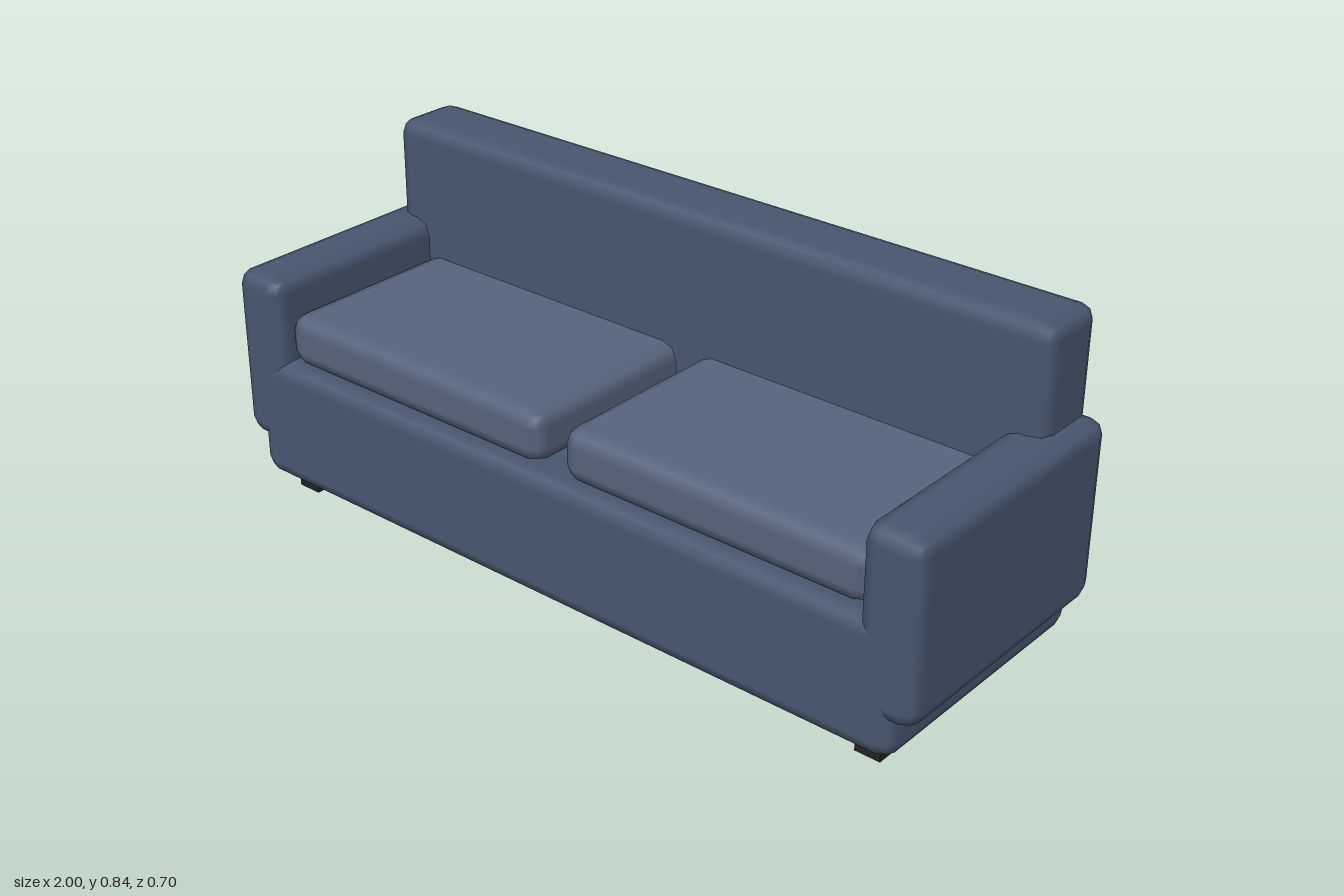
import * as THREE from 'three';
import { RoundedBoxGeometry } from 'three/addons/geometries/RoundedBoxGeometry.js';

const fabric = new THREE.MeshStandardMaterial({ color: 0x47566f });
const cushionFabric = new THREE.MeshStandardMaterial({ color: 0x56637c });
const legPaint = new THREE.MeshStandardMaterial({ color: 0x222222 });

// Box given by its [min, max] extents; a radius gives it a two-step bevel.
function block(name, [x0, x1], [y0, y1], [z0, z1], material, radius = 0.04) {
  const size = [x1 - x0, y1 - y0, z1 - z0];
  const geometry = radius
    ? new RoundedBoxGeometry(...size, 1, radius)
    : new THREE.BoxGeometry(...size);
  const mesh = new THREE.Mesh(geometry, material);
  mesh.name = name;
  mesh.position.set((x0 + x1) / 2, (y0 + y1) / 2, (z0 + z1) / 2);
  return mesh;
}

export function createModel() {
  const sofa = new THREE.Group();
  sofa.name = 'sofa';

  // Full-width base and tall backrest
  sofa.add(block('seatBase', [-0.95, 0.95], [0.05, 0.372], [-0.35, 0.35], fabric));
  sofa.add(block('backrest', [-0.95, 0.95], [0.05, 0.842], [-0.35, -0.16], fabric));

  // Mirrored armrest, cushion and front leg
  for (const [side, s] of [['left', 1], ['right', -1]]) {
    const span = (a, b) => (s > 0 ? [a, b] : [-b, -a]);
    sofa.add(block(side + 'Armrest', span(0.85, 1), [0.145, 0.588], [-0.35, 0.35], fabric));
    sofa.add(block(side + 'Cushion', span(0.033, 0.855), [0.365, 0.497], [-0.2, 0.317], cushionFabric));
    sofa.add(block(side + 'FrontLeg', span(0.825, 0.89), [0, 0.06], [0.225, 0.287], legPaint, 0));
  }
  return sofa;
}
